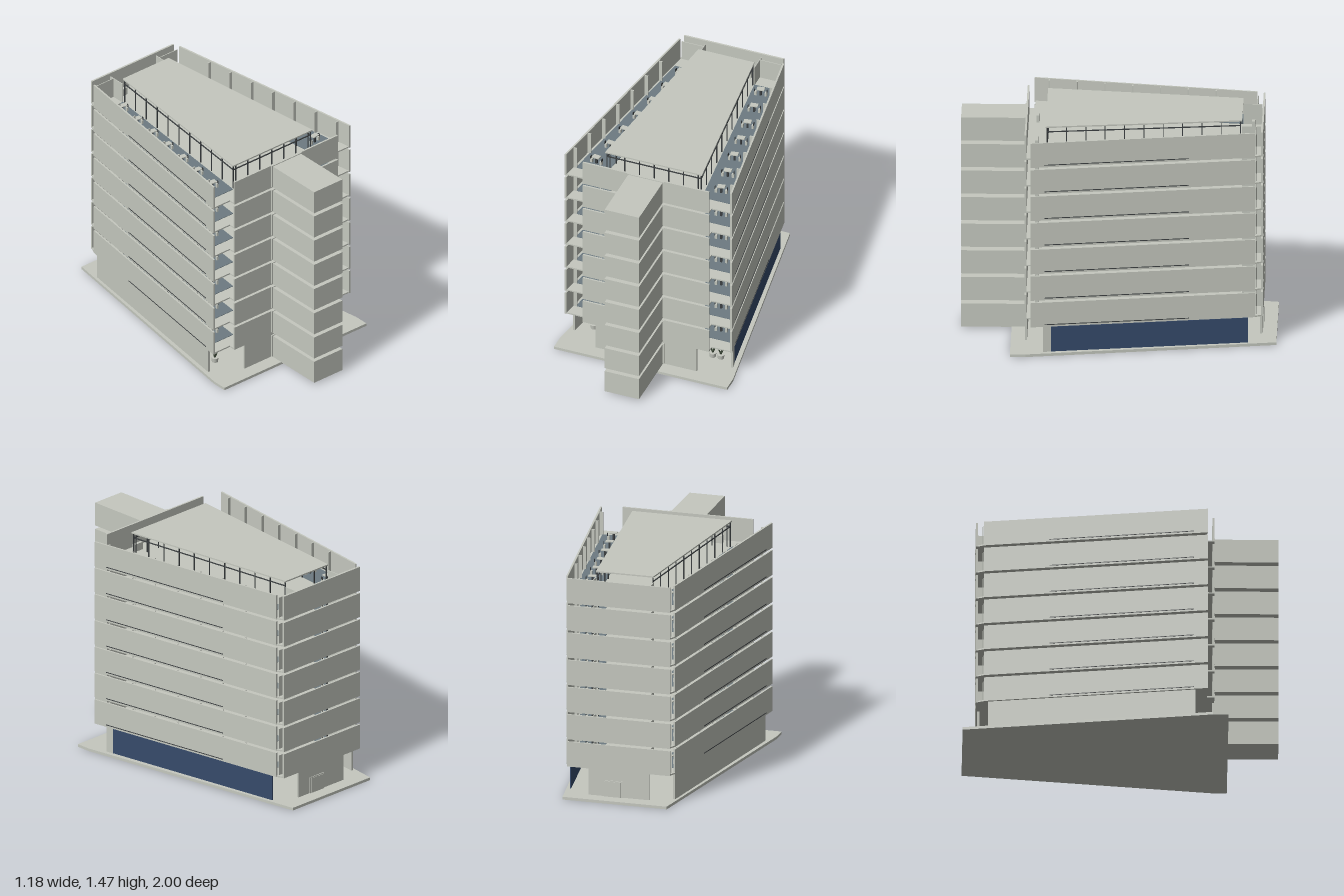
import * as THREE from 'three';

const mat = (name, color) => {
  const m = new THREE.MeshStandardMaterial({ color });
  m.name = name;
  return m;
};

export function createModel() {
  const concrete = mat('concrete', 0xc5c8bf);
  const carpet = mat('carpet', 0x6d7b82);
  const glass = mat('blue glass', 0x364a6b);
  const metal = mat('dark metal', 0x3c4042);
  const leaf = mat('leaf', 0x44523f);

  const model = new THREE.Group();
  model.name = 'officeBuilding';

  const add = (parent, name, geometry, material, x = 0, y = 0, z = 0) => {
    const mesh = new THREE.Mesh(geometry, material);
    mesh.name = name;
    mesh.position.set(x, y, z);
    parent.add(mesh);
    return mesh;
  };
  // Box given by its centre in x and z and its bottom and top in y
  const box = (parent, name, material, x, z, w, d, y0, y1) =>
    add(parent, name, new THREE.BoxGeometry(w, y1 - y0, d), material, x, (y0 + y1) / 2, z);
  // Upright prism over an outline of [x, z] points
  const prism = (parent, name, material, points, y0, y1) => {
    const shape = new THREE.Shape(points.map(([x, z]) => new THREE.Vector2(x, -z)));
    const geometry = new THREE.ExtrudeGeometry(shape, { depth: y1 - y0, bevelEnabled: false });
    geometry.rotateX(-Math.PI / 2);
    return add(parent, name, geometry, material, 0, y0, 0);
  };
  // Completes a half outline (x > 0) to a symmetric one
  const mirrored = (half) => [...half, ...half.map(([x, z]) => [-x, z]).reverse()];

  // Outer face of the tapering side wall
  const wallX = (z) => 0.36 + ((z + 0.865) / 1.415) * 0.21;
  const wallAngle = Math.atan2(0.21, 1.415);
  // Strip along the side wall between two insets
  const strip = (parent, name, material, side, z0, z1, in0, in1, y0, y1) =>
    prism(parent, name, material, [
      [side * (wallX(z0) - in0), z0], [side * (wallX(z1) - in0), z1],
      [side * (wallX(z1) - in1), z1], [side * (wallX(z0) - in1), z0],
    ], y0, y1);
  // Inner edge of the carpet, shared with the roof canopy
  const coreX = (z) => 0.19 + ((z + 0.78) / 1.24) * 0.14;

  const slabOutline = mirrored([[0.43, 0.585], [0.43, 0.545], [0.568, 0.545], [0.358, -0.865], [0.34, -0.905]]);

  // Plinth
  prism(model, 'plinth', concrete, mirrored([[0.59, 0.68], [0.59, 0.58], [0.345, -1]]), 0, 0.018);

  // Table with two chairs
  const addDesk = (parent, x, z, y, turn) => {
    const desk = new THREE.Group();
    desk.name = 'desk';
    desk.position.set(x, y, z);
    desk.rotation.y = turn;
    box(desk, 'deskTop', concrete, 0, 0, 0.05, 0.036, 0.046, 0.052);
    box(desk, 'deskLeg', metal, 0, 0, 0.012, 0.012, 0, 0.046);
    for (const s of [-1, 1]) {
      box(desk, 'chairSeat', concrete, s * 0.034, 0, 0.014, 0.018, 0, 0.026);
      box(desk, 'chairBack', metal, s * 0.04, 0, 0.003, 0.018, 0.026, 0.045);
    }
    parent.add(desk);
  };

  // Upper storeys
  const pitch = 0.181;
  const storeys = 7;
  for (let i = 0; i < storeys; i++) {
    const y = 0.194 + i * pitch;
    const top = y + 0.165;
    const floor = y + 0.009;
    const storey = new THREE.Group();
    storey.name = 'storey';
    model.add(storey);

    prism(storey, 'floorSlab', concrete, slabOutline, y, floor);
    box(storey, 'frontPanel', concrete, 0, 0.585, 0.86, 0.012, y, top);
    box(storey, 'backPanel', concrete, 0, -0.91, 0.68, 0.012, y, top);

    for (const s of [-1, 1]) {
      strip(storey, 'sidePanel', concrete, s, -0.865, 0.55, 0, 0.012, y, top);
      strip(storey, 'sideSlit', metal, s, -0.45, 0.46, -0.002, 0.004, y + 0.012, y + 0.017);
      prism(storey, 'carpet', carpet, [
        [s * coreX(0.46), 0.46], [s * (wallX(0.46) - 0.028), 0.46],
        [s * (wallX(-0.78) - 0.022), -0.78], [s * coreX(-0.78), -0.78],
      ], floor, floor + 0.003);

      for (let k = 0; k < 7; k++) {
        const z = -0.69 + k * 0.1765;
        addDesk(storey, s * (0.27 + k * 0.0258), z, floor + 0.003, s * wallAngle);
        // Fins between the desks on the inner face of the wall
        const zf = z + 0.088;
        box(storey, 'wallFin', concrete, s * (wallX(zf) - 0.022), zf, 0.024, 0.008, floor, top - 0.004);
      }
      // Rear side rooms and front benches
      box(storey, 'rearPartition', concrete, s * 0.19, -0.84, 0.005, 0.12, floor, top - 0.02);
      box(storey, 'rearCrossWall', concrete, s * 0.265, -0.87, 0.15, 0.005, floor, top - 0.02);
      box(storey, 'frontBench', concrete, s * 0.215, 0.52, 0.07, 0.02, floor, floor + 0.05);
    }
    for (const x of [-0.125, 0, 0.125]) {
      box(storey, 'rearBench', concrete, x, -0.845, 0.04, 0.02, floor, floor + 0.05);
    }
  }

  // Stacked boxes projecting from the front
  for (let i = 0; i <= storeys; i++) {
    const y = 0.016 + i * pitch;
    box(model, 'frontBay', concrete, 0, 0.79, 0.234, 0.42, y, y + 0.157);
    box(model, 'frontBayFrame', concrete, 0, 0.592, 0.25, 0.012, y + 0.005, y + 0.162);
  }

  // Roof canopy on slender posts
  const roofFloor = 0.194 + 6 * pitch + 0.012;
  prism(model, 'roofCanopy', concrete, mirrored([[0.33, 0.46], [0.19, -0.78]]), 1.457, 1.466);
  for (const s of [-1, 1]) {
    for (let k = 0; k <= 10; k++) {
      const z = -0.77 + k * 0.122;
      box(model, 'canopyPost', metal, s * (coreX(z) - 0.008), z, 0.006, 0.006, roofFloor, 1.457);
    }
    prism(model, 'canopyRail', metal, [
      [s * (coreX(0.45) - 0.005), 0.45], [s * (coreX(-0.77) - 0.005), -0.77],
      [s * (coreX(-0.77) - 0.011), -0.77], [s * (coreX(0.45) - 0.011), 0.45],
    ], 1.425, 1.431);
  }
  for (let k = -3; k <= 3; k++) {
    box(model, 'canopyFrontPost', metal, k * 0.1, 0.45, 0.006, 0.006, roofFloor, 1.457);
  }
  box(model, 'canopyFrontRail', metal, 0, 0.45, 0.64, 0.006, 1.425, 1.431);

  // Ground floor: glazed on the left, solid on the right
  strip(model, 'groundGlass', glass, 1, -0.82, 0.42, 0.016, 0.024, 0.018, 0.186);
  strip(model, 'groundEndPier', concrete, 1, 0.42, 0.47, 0.014, 0.028, 0.018, 0.194);
  strip(model, 'groundSolidWall', concrete, -1, -0.84, 0.47, 0.012, 0.026, 0.018, 0.194);
  box(model, 'groundFrontWall', concrete, 0, 0.583, 0.69, 0.012, 0.018, 0.194);
  box(model, 'groundBackWall', concrete, 0, -0.9, 0.4, 0.014, 0.018, 0.194);
  box(model, 'backDoorFrame', concrete, 0.04, -0.909, 0.13, 0.006, 0.018, 0.125);
  box(model, 'backDoor', concrete, 0.04, -0.913, 0.11, 0.004, 0.018, 0.118);

  // Potted plants in the open front corners
  for (const x of [-0.43, 0.38, 0.435]) {
    const plant = new THREE.Group();
    plant.name = 'pottedPlant';
    plant.position.set(x, 0.018, 0.4);
    add(plant, 'pot', new THREE.CylinderGeometry(0.024, 0.02, 0.03, 12), concrete, 0, 0.015, 0);
    for (let k = 0; k < 7; k++) {
      const a = (k / 7) * Math.PI * 2;
      const blade = new THREE.ConeGeometry(0.004, 0.06, 4);
      blade.translate(0, 0.03, 0);
      blade.rotateZ(-0.4);
      blade.rotateY(a);
      add(plant, 'leafBlade', blade, leaf, 0, 0.027, 0);
    }
    model.add(plant);
  }

  return model;
}
